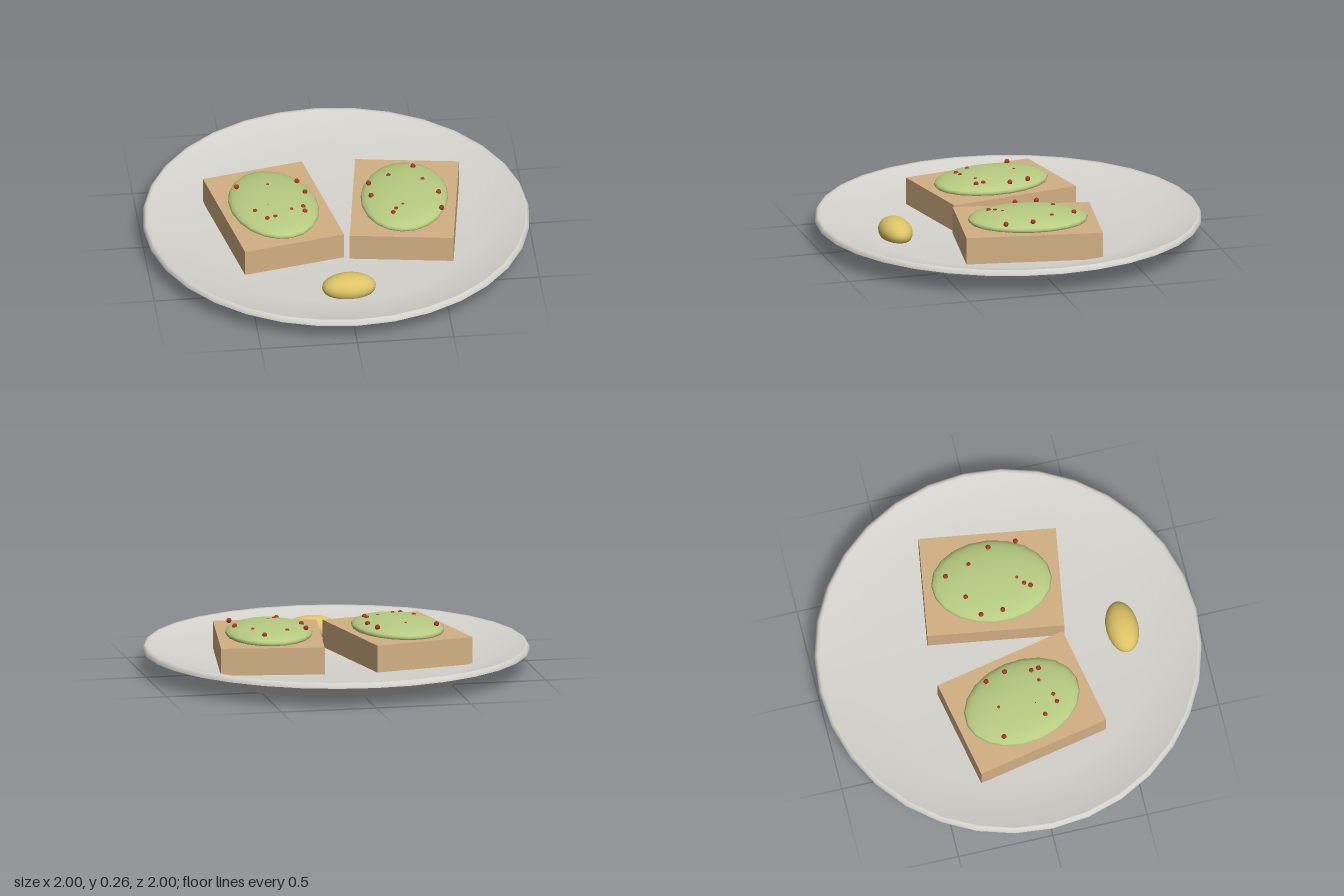
import * as THREE from 'three';

const mat = (name, color) => {
  const m = new THREE.MeshStandardMaterial({ color });
  m.name = name;
  return m;
};

export function createModel() {
  const ceramic = mat('ceramic', 0xd6d4ce);
  const bread = mat('bread', 0xd2b083);
  const green = mat('avocadoGreen', 0xb8cc82);
  const yellow = mat('lemonYellow', 0xdcc464);
  const red = mat('chiliRed', 0xb03524);

  const model = new THREE.Group();
  model.name = 'toastPlate';

  const add = (parent, name, geometry, material, x = 0, y = 0, z = 0) => {
    const mesh = new THREE.Mesh(geometry, material);
    mesh.name = name;
    mesh.position.set(x, y, z);
    parent.add(mesh);
    return mesh;
  };

  // Plate: separate lathed surfaces keep the edges between them crisp
  const plate = new THREE.Group();
  plate.name = 'plate';
  model.add(plate);
  const surfaces = {
    plateBase: [[0, 0], [0.72, 0]],
    plateFlank: [[0.72, 0], [1, 0.105]],
    plateRim: [[1, 0.105], [0.997, 0.12], [0.985, 0.133], [0.972, 0.128]],
    plateDish: [[0.972, 0.128], [0.7, 0.058], [0, 0.055]],
  };
  for (const [name, points] of Object.entries(surfaces)) {
    const profile = points.map(([r, y]) => new THREE.Vector2(r, y));
    add(plate, name, new THREE.LatheGeometry(profile, 32), ceramic);
  }

  // Toasts with an avocado mound and chili flakes (flakes given as x, z)
  const toasts = [
    {
      side: 'right', x: -0.324, turn: 0.2,
      flakes: [[-0.5, -0.14], [-0.34, -0.13], [-0.185, -0.16], [-0.155, -0.055],
        [-0.43, 0.095], [-0.18, 0.08], [-0.175, 0.12], [-0.243, 0.105],
        [-0.375, 0.17], [-0.333, 0.16], [-0.36, 0.06]],
    },
    {
      side: 'left', x: 0.355, turn: -0.15,
      flakes: [[0.18, -0.1], [0.29, -0.155], [0.425, -0.23], [0.46, -0.1],
        [0.18, 0.015], [0.53, 0.02], [0.53, 0.165], [0.277, 0.185],
        [0.295, 0.155], [0.333, 0.125]],
    },
  ];
  const breadGeometry = new THREE.BoxGeometry(0.536, 0.142, 0.71);
  const moundGeometry = new THREE.SphereGeometry(1, 20, 14).scale(0.226, 0.05, 0.312);
  const flakeGeometry = new THREE.SphereGeometry(0.0135, 8, 6);

  for (const { side, x, turn, flakes } of toasts) {
    const toast = new THREE.Group();
    toast.name = `${side}Toast`;
    model.add(toast);
    add(toast, 'breadSlice', breadGeometry, bread, x, 0.129, -0.003).rotation.y = turn;
    add(toast, 'avocadoMound', moundGeometry, green, x, 0.21, -0.003).rotation.y = turn;
    for (const [fx, fz] of flakes) add(toast, 'chiliFlake', flakeGeometry, red, fx, 0.245, fz);
  }

  // Lemon at the front of the plate
  const lemon = new THREE.SphereGeometry(1, 24, 16).scale(0.14, 0.07, 0.084);
  add(model, 'lemon', lemon, yellow, 0, 0.088, 0.605);

  return model;
}
